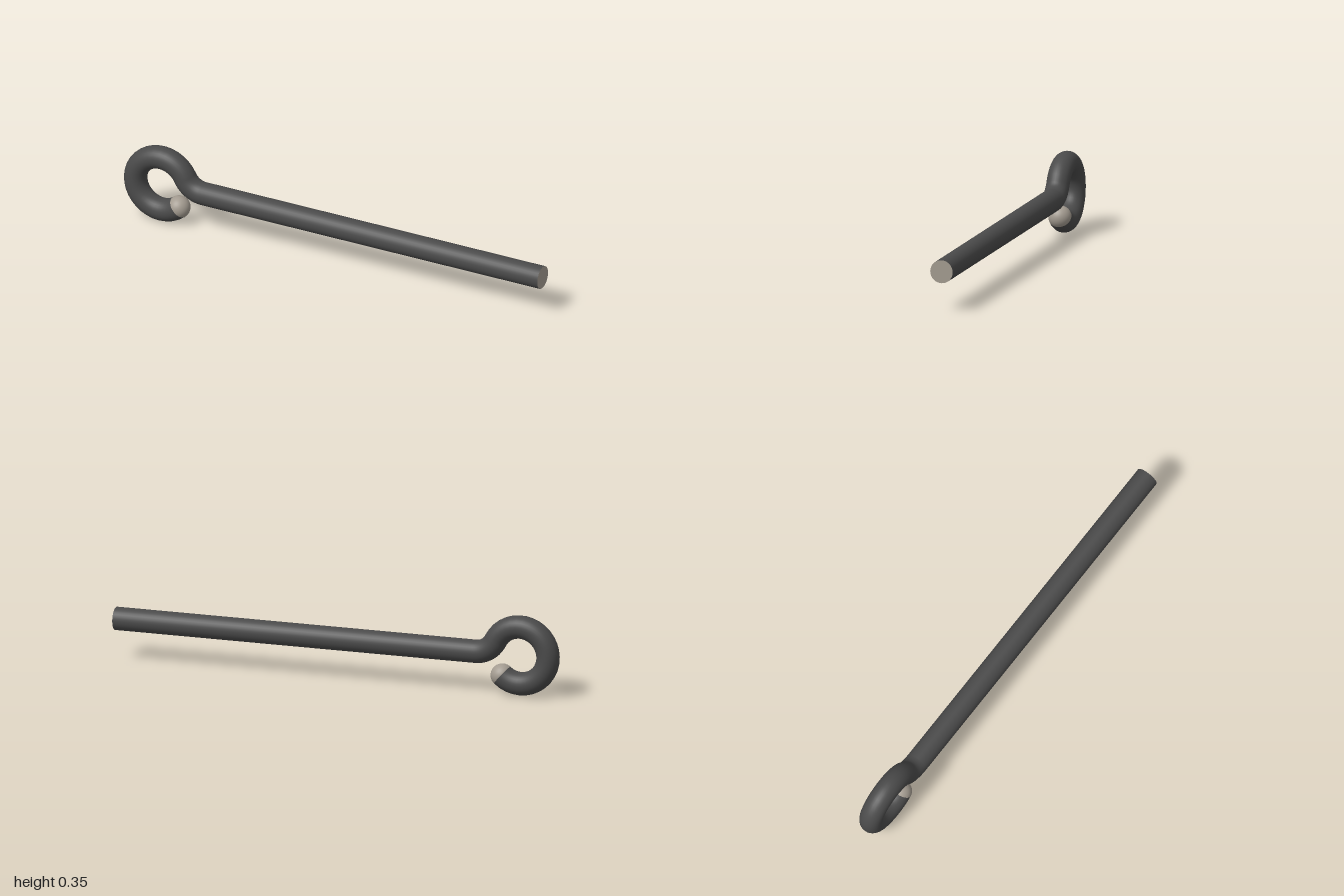
import * as THREE from 'three';

const RADIUS = 0.05;       // bar thickness
const EYE_RADIUS = 0.125;  // centreline of the eye
const BEND_RADIUS = 0.1;   // centreline of the neck bend
const EYE = new THREE.Vector2(-0.825, 0.176);
const SIDES = 32;

export function createModel() {
  const group = new THREE.Group();
  const steel = new THREE.MeshStandardMaterial({ color: 0x4a4a4a });
  const bare = new THREE.MeshStandardMaterial({ color: 0xa39b90 });

  const add = (name, geometry, material, x, y, angle = 0) => {
    const mesh = new THREE.Mesh(geometry, material);
    mesh.name = name;
    mesh.position.set(x, y, 0);
    mesh.rotation.z = angle;
    group.add(mesh);
  };
  const arc = (name, radius, x, y, from, to, segments) =>
    add(name, new THREE.TorusGeometry(radius, RADIUS, SIDES, segments, to - from), steel, x, y, from);

  // The neck bend touches the eye and runs level into the shaft
  const reach = EYE_RADIUS + BEND_RADIUS;
  const join = Math.asin(BEND_RADIUS / reach);
  const bendX = EYE.x + reach * Math.cos(join);
  const tip = THREE.MathUtils.degToRad(311);

  arc('eye', EYE_RADIUS, EYE.x, EYE.y, join, tip, 28);
  arc('neckBend', BEND_RADIUS, bendX, EYE.y + BEND_RADIUS, Math.PI + join, Math.PI * 1.5, 10);

  // Straight shaft with a bare flat end
  const length = 1 - bendX;
  add('shaft', new THREE.CylinderGeometry(RADIUS, RADIUS, length, SIDES, 1, true),
    steel, bendX + length / 2, EYE.y, -Math.PI / 2);
  const endFace = new THREE.CircleGeometry(RADIUS, SIDES).rotateY(Math.PI / 2);
  add('shaftEnd', endFace, bare, 1, EYE.y);

  // Rounded tip closing the open end of the eye
  const dome = new THREE.SphereGeometry(RADIUS, SIDES, 12, 0, Math.PI * 2, 0, Math.PI / 2);
  add('eyeTip', dome, bare,
    EYE.x + EYE_RADIUS * Math.cos(tip), EYE.y + EYE_RADIUS * Math.sin(tip), tip);

  return group;
}
